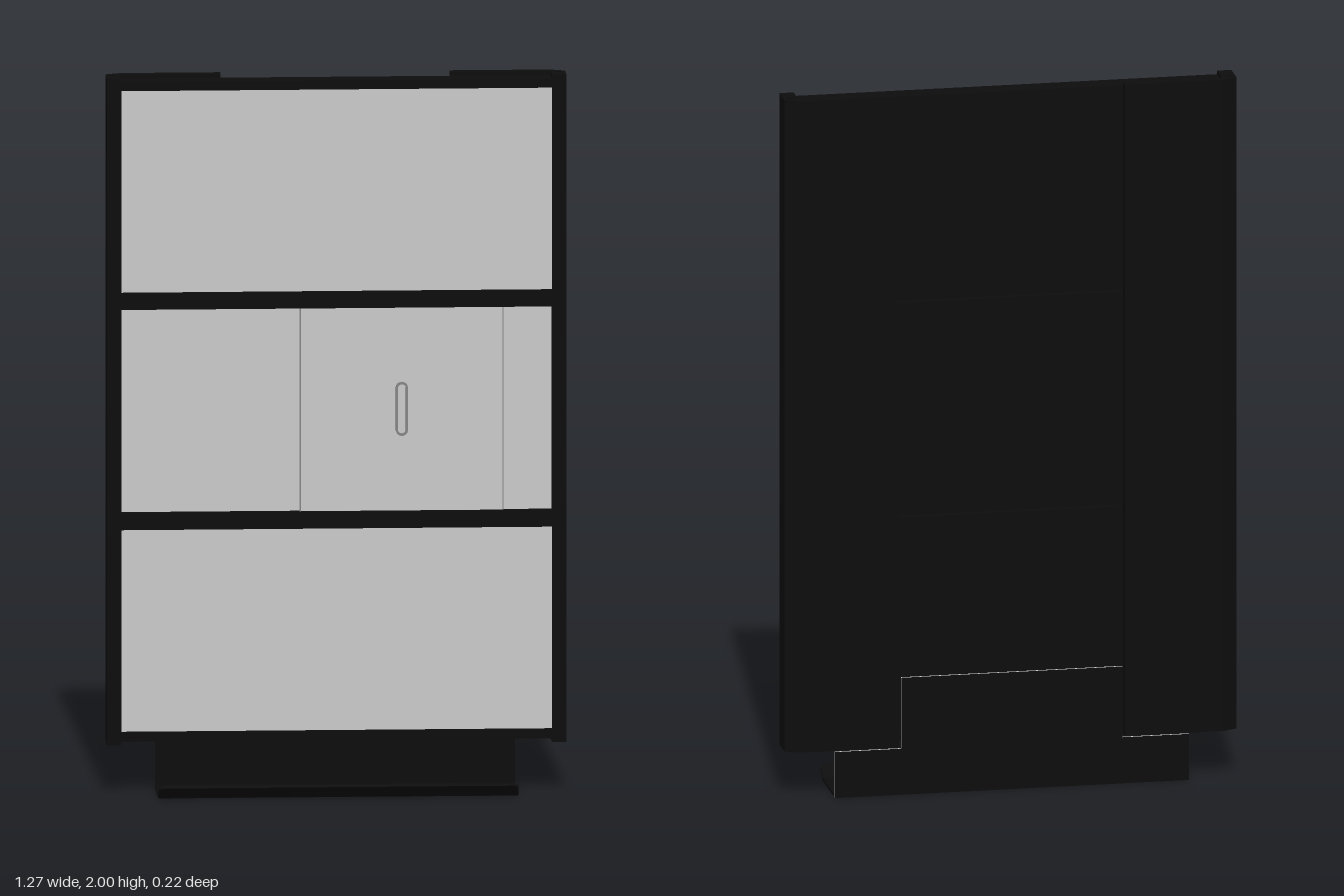
import * as THREE from 'three';

const black = new THREE.MeshStandardMaterial({ color: 0x0d0d0d });
black.name = 'black frame';
const grey = new THREE.MeshStandardMaterial({ color: 0xcacaca });
grey.name = 'light grey panel';
const seamGrey = new THREE.MeshStandardMaterial({ color: 0x858585 });
seamGrey.name = 'mid grey trim';

export function createModel() {
  const model = new THREE.Group();

  const add = (name, geometry, material) => {
    const mesh = new THREE.Mesh(geometry, material);
    mesh.name = name;
    model.add(mesh);
    return mesh;
  };

  // Box given by its limits on each axis
  const box = (name, material, x0, x1, y0, y1, z0, z1) => {
    const mesh = add(name, new THREE.BoxGeometry(x1 - x0, y1 - y0, z1 - z0), material);
    mesh.position.set((x0 + x1) / 2, (y0 + y1) / 2, (z0 + z1) / 2);
    return mesh;
  };

  const polygon = (points) => new THREE.Shape(points.map(([x, y]) => new THREE.Vector2(x, y)));
  const extrude = (shape, depth) =>
    new THREE.ExtrudeGeometry(shape, { depth, bevelEnabled: false, curveSegments: 8 });

  // Side posts: plan profile with chamfered corner, rear flange and a bore
  for (const s of [1, -1]) {
    const shape = polygon([
      [0.635, 0.013], [0.635, 0.09], [0.593, 0.11], [0.317, 0.11],
      [0.317, 0.084], [0.595, 0.084], [0.595, 0.013],
    ].map(([x, y]) => [s * x, y]));
    const bore = new THREE.Path();
    bore.absarc(s * 0.615, 0.073, 0.01, 0, Math.PI * 2);
    shape.holes.push(bore);
    const post = add(s > 0 ? 'leftPost' : 'rightPost', extrude(shape, 1.865), black);
    post.rotation.x = -Math.PI / 2;
    post.position.y = 0.135;
  }

  // Horizontal rails
  const rails = [['bottomRail', 0.145, 0.172], ['lowerRail', 0.737, 0.785],
    ['upperRail', 1.353, 1.4], ['topRail', 1.965, 1.99]];
  for (const [name, y0, y1] of rails) box(name, black, -0.595, 0.595, y0, y1, -0.078, -0.014);

  // Grey infill panels with black backing
  const bays = [['lowerPanel', 0.172, 0.737, -0.022], ['middlePanel', 0.785, 1.353, -0.03],
    ['upperPanel', 1.4, 1.965, -0.022]];
  for (const [name, y0, y1, z] of bays) {
    box(name, grey, -0.595, 0.595, y0, y1, z - 0.012, z);
    box(name + 'Backing', black, -0.595, 0.595, y0, y1, -0.06, z - 0.012);
  }

  // Sliding door with dark edge trims
  box('slidingDoor', grey, -0.1, 0.458, 0.785, 1.353, -0.03, -0.02);
  for (const x of [-0.102, 0.458]) box('doorEdge', seamGrey, x, x + 0.003, 0.785, 1.353, -0.03, -0.0198);

  // Door pull: raised oval ring
  const oval = (path, r) => {
    path.absarc(0, 0.058, r, 0, Math.PI);
    path.absarc(0, -0.058, r, Math.PI, Math.PI * 2);
    path.closePath();
    return path;
  };
  const ring = oval(new THREE.Shape(), 0.017);
  ring.holes.push(oval(new THREE.Path(), 0.011));
  add('doorPull', extrude(ring, 0.011), seamGrey).position.set(0.18, 1.07, -0.021);

  // Tray back plate: narrow tongue above, full width below, pale cut edges
  const plate = polygon([[-0.497, 0], [0.497, 0], [0.497, 0.132], [0.311, 0.132],
    [0.311, 0.335], [-0.311, 0.335], [-0.311, 0.132], [-0.497, 0.132]]);
  add('trayBack', extrude(plate, 0.006), [black, grey]).position.z = -0.11;

  // Tray floor
  box('trayFloor', black, -0.497, 0.497, 0, 0.008, -0.104, 0.072);

  // Upturned lip with rounded front corners
  const w = 0.497, l = 0.052, r = 0.016;
  const lipShape = new THREE.Shape();
  lipShape.moveTo(-w, 0);
  lipShape.lineTo(w, 0);
  lipShape.lineTo(w, l - r);
  lipShape.absarc(w - r, l - r, r, 0, Math.PI / 2);
  lipShape.lineTo(-w + r, l);
  lipShape.absarc(-w + r, l - r, r, Math.PI / 2, Math.PI);
  lipShape.closePath();
  const lip = add('trayLip', extrude(lipShape, 0.008), black);
  lip.rotation.x = Math.atan2(0.042, -0.034) - Math.PI / 2 + Math.PI / 2 - Math.PI / 2;
  lip.rotation.x = Math.PI / 2 - Math.atan2(0.034, 0.04);
  lip.position.set(0, 0.007, 0.069);

  return model;
}
